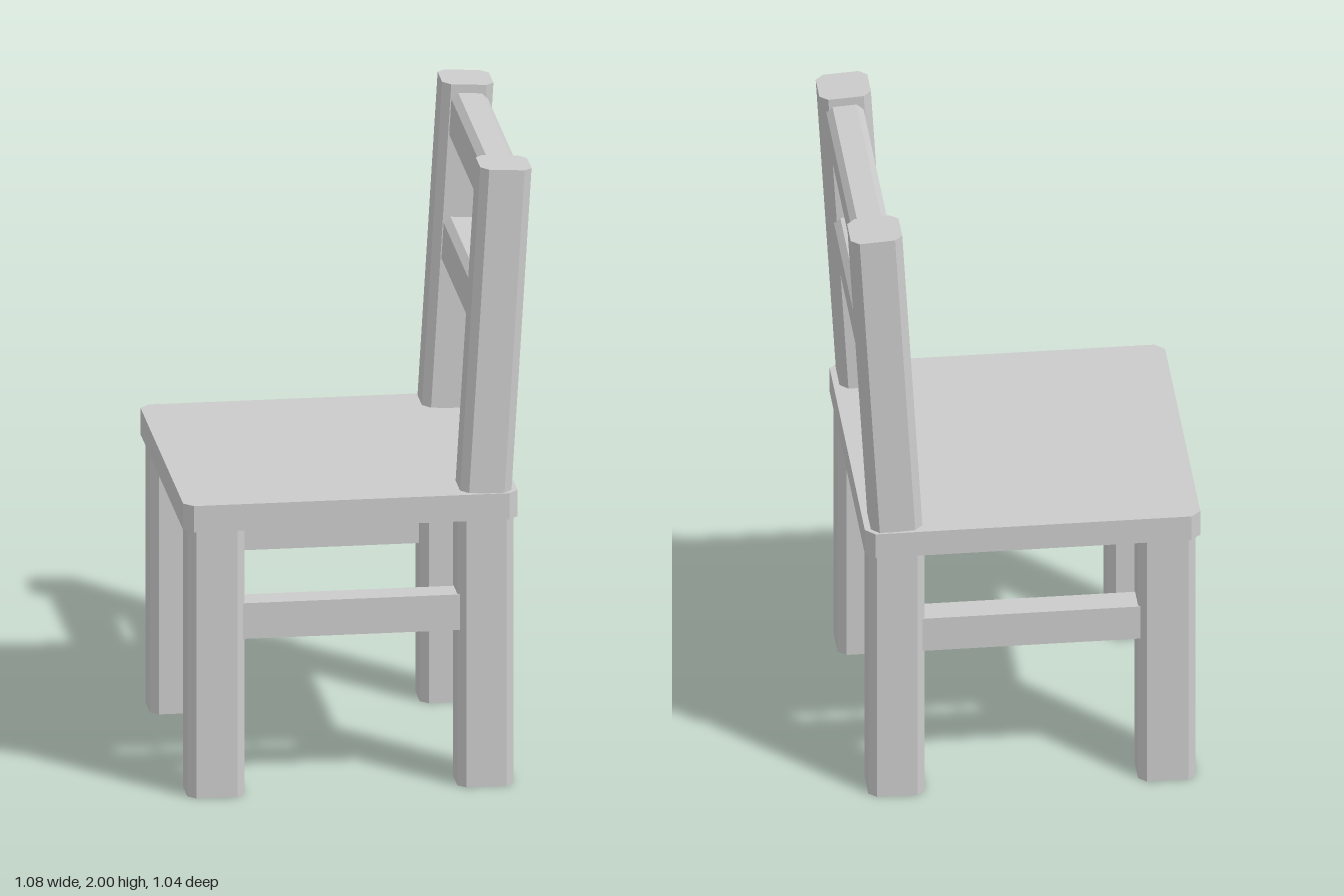
import * as THREE from 'three';

const material = new THREE.MeshStandardMaterial({ color: 0xcccccc, flatShading: true });

// Beam with chamfered long edges: w x h cross-section in XY, running along z, centred
function beamGeometry(w, h, length, c) {
  const x = w / 2, y = h / 2;
  const shape = new THREE.Shape([
    [x - c, -y], [x, -y + c], [x, y - c], [x - c, y],
    [-x + c, y], [-x, y - c], [-x, -y + c], [-x + c, -y],
  ].map(([px, py]) => new THREE.Vector2(px, py)));
  return new THREE.ExtrudeGeometry(shape, { depth: length, bevelEnabled: false })
    .translate(0, 0, -length / 2);
}

// The same beam standing upright with its foot on y = 0
function uprightGeometry(w, d, height, c) {
  return beamGeometry(w, d, height, c).rotateX(-Math.PI / 2).translate(0, height / 2, 0);
}

function add(parent, name, geometry, x, y, z) {
  const mesh = new THREE.Mesh(geometry, material);
  mesh.name = name;
  mesh.position.set(x, y, z);
  parent.add(mesh);
  return mesh;
}

export function createModel() {
  const chair = new THREE.Group();
  chair.name = 'chair';

  // Seat board with clipped corners
  add(chair, 'seat', uprightGeometry(1.04, 1.04, 0.085, 0.03), -0.028, 0.865, 0);

  // Backrest leans outwards from the seat
  const backrest = new THREE.Group();
  backrest.name = 'backrest';
  backrest.position.set(0.393, 0.95, 0);
  backrest.rotation.z = -0.06;
  chair.add(backrest);

  for (const side of [-1, 1]) {
    // Legs, and the stretcher joining them along the side
    add(chair, 'seatEndLeg', uprightGeometry(0.178, 0.155, 0.866, 0.025), -0.445, 0, side * 0.43);
    add(chair, 'backrestLeg', uprightGeometry(0.175, 0.155, 0.866, 0.025), 0.393, 0, side * 0.43);
    add(chair, 'sideStretcher', new THREE.BoxGeometry(0.68, 0.115, 0.09), -0.022, 0.562, side * 0.445);

    // Backrest posts
    add(backrest, 'backPost', uprightGeometry(0.16, 0.152, 1.045, 0.025), 0, 0, side * 0.437);
  }

  // Two slats between the posts
  for (const y of [0.54, 0.94]) {
    add(backrest, 'backSlat', beamGeometry(0.115, 0.155, 0.74, 0.02), 0.006, y, 0);
  }

  return chair;
}
